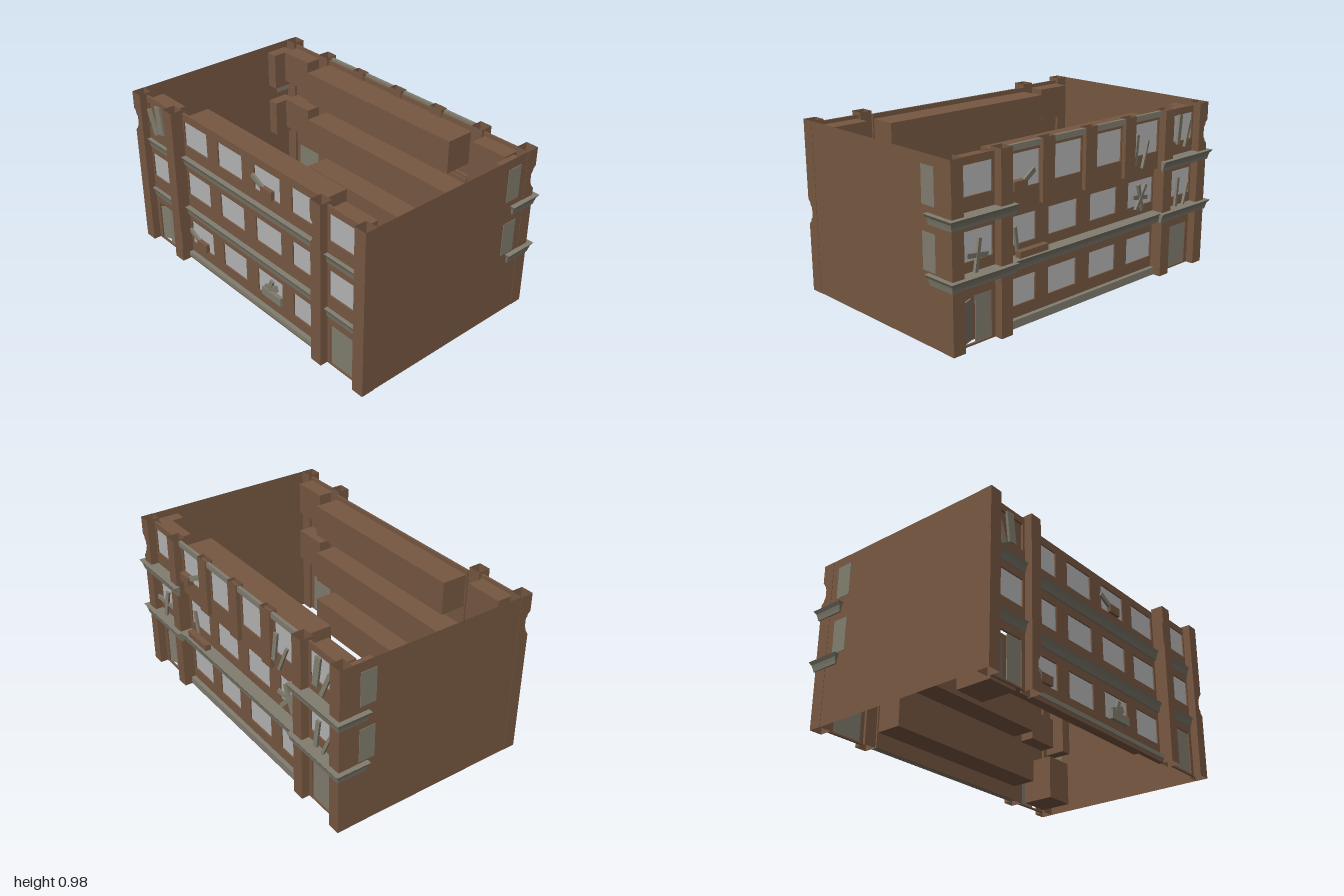
import * as THREE from 'three';

const mat = (name, color) => {
  const m = new THREE.MeshStandardMaterial({ color, side: THREE.DoubleSide });
  m.name = name;
  return m;
};

export function createModel() {
  const brick = mat('brick brown', 0x775842);
  const stone = mat('weathered stone', 0x817d6f);
  const glass = mat('window grey', 0xb5b5b5);
  const root = new THREE.Group();
  const H = 0.975;

  const add = (name, geo, material, parent = root) => {
    const m = new THREE.Mesh(geo, material);
    m.name = name;
    parent.add(m);
    return m;
  };
  // box given by its limits
  const box = (name, x0, x1, y0, y1, z0, z1, material) => {
    const m = add(name, new THREE.BoxGeometry(x1 - x0, y1 - y0, Math.abs(z1 - z0)), material);
    m.position.set((x0 + x1) / 2, (y0 + y1) / 2, (z0 + z1) / 2);
    return m;
  };
  const rect = (S, x0, x1, y0, y1) => {
    const s = new S();
    s.moveTo(x0, y0); s.lineTo(x1, y0); s.lineTo(x1, y1); s.lineTo(x0, y1); s.closePath();
    return s;
  };
  // an x range mirrored to side s
  const span = (s, a, b) => (s > 0 ? [a, b] : [-b, -a]);

  // wall with openings [x0, x1, y0, y1, filling]; dir is the way it faces along z
  const T = 0.012;
  const wall = (name, x0, x1, y0, y1, z, dir, openings) => {
    const s = rect(THREE.Shape, x0, x1, y0, y1);
    openings.forEach(o => s.holes.push(rect(THREE.Path, o[0], o[1], o[2], o[3])));
    const m = add(name, new THREE.ExtrudeGeometry(s, { depth: T, bevelEnabled: false }), brick);
    m.position.z = dir > 0 ? z - T : z;
    openings.forEach(o => {
      if (o[4]) box(o[4] === glass ? 'windowPane' : 'doorPanel', o[0], o[1], o[2], o[3], z - dir * 0.008, z - dir * T, o[4]);
    });
  };

  // moulding that widens towards the top, on the side dir
  const cornice = (x0, x1, y, zIn, zOut, dir) => {
    const g = new THREE.BoxGeometry(x1 - x0, 0.055, Math.abs(zOut - zIn), 1, 3, 1), p = g.attributes.position;
    for (let i = 0; i < p.count; i++) {
      const k = 0.02 * Math.sqrt(Math.max(0, 0.5 - p.getY(i) / 0.055));
      if (p.getZ(i) * dir > 0) p.setZ(i, p.getZ(i) - dir * k);
    }
    g.computeVertexNormals();
    add('cornice', g, stone).position.set((x0 + x1) / 2, y + 0.0275, (zIn + zOut) / 2);
  };

  // flat pier face with an optional broken bite out of its +x edge
  const face = (w, biteY) => {
    const s = new THREE.Shape();
    s.moveTo(-w / 2, 0); s.lineTo(w / 2, 0);
    if (biteY) {
      for (let i = 0; i <= 10; i++) {
        const d = 0.032 * Math.sin(Math.PI * i / 10) + (i % 2 ? 0.006 : 0);
        s.lineTo(w / 2 - d, biteY - 0.07 + i * 0.014);
      }
    }
    s.lineTo(w / 2, H); s.lineTo(-w / 2, H); s.closePath();
    return new THREE.ShapeGeometry(s);
  };
  // hollow pier, open at the top; sx chooses the side with the broken edge
  const pier = (x, z, dir, sx, biteY) => {
    const w = 0.075, g = new THREE.Group();
    g.name = 'pier';
    add('pierFront', face(w, biteY), brick, g);
    add('pierBack', face(w, 0), brick, g).position.z = -w;
    [1, -1].forEach(k => {
      const m = add('pierSide', face(w, k > 0 ? biteY : 0), brick, g);
      m.rotation.y = -Math.PI / 2;
      m.position.set(k * w / 2, 0, -w / 2);
    });
    if (biteY) add('brokenCore', new THREE.BoxGeometry(0.05, 0.15, 0.05), brick, g).position.set(0, biteY, -w / 2);
    g.position.set(x, 0, z);
    g.scale.set(sx, 1, dir);
    root.add(g);
  };
  pier(-0.9345, 0.633, 1, -1, 0.8);
  pier(-0.6225, 0.633, 1, 1, 0.14);
  pier(0.6225, 0.633, 1, -1, 0.8);
  pier(0.9345, 0.633, 1, 1, 0.46);
  [-1, 1].forEach(s => {
    pier(s * 0.9345, -0.577, -1, s, 0.8);
    pier(s * 0.6225, -0.577, -1, s, 0);
  });

  // main walls
  const cols = [-0.47, -0.158, 0.158, 0.463];
  const row = (y0, y1) => cols.map(x => [x - 0.106, x + 0.106, y0, y1, glass]);
  const low = [...row(0.11, 0.26), ...row(0.44, 0.59)];
  wall('frontCentreWall', -0.585, 0.585, 0, 0.957, 0.558, 1, [...low, ...row(0.76, 0.91)]);
  wall('backLowerWall', -0.585, 0.585, 0, 0.64, -0.505, -1, low);
  wall('backUpperWall', -0.585, 0.585, 0.64, 0.957, -0.53, -1, row(0.74, 0.92));
  box('upperOverhang', -0.585, 0.585, 0.64, 0.66, -0.53, -0.5, brick);

  // wing walls with a door and two windows each
  [[1, 0.588], [-1, -0.53]].forEach(([dir, z]) => [-1, 1].forEach(s => {
    const openDoor = s !== dir;
    const noGlass = dir > 0 && s < 0;
    wall('wingWall', ...span(s, 0.66, 0.897), 0, 0.96, z, dir, [
      [...span(s, 0.685, 0.87), 0.01, 0.26, openDoor ? null : stone],
      [...span(s, 0.675, 0.888), 0.44, 0.595, glass],
      [...span(s, 0.675, 0.888), 0.765, 0.92, noGlass ? null : glass],
    ]);
    // rooms behind the wing windows
    const zi = z - dir * T;
    [0.42, 0.745].forEach(y =>
      box('wingRoom', ...span(s, 0.67, 0.89), y, y + 0.195, dir > 0 ? 0.48 : -0.42, zi - dir * 0.001, brick));
    if (openDoor) {
      // lobby, one closed door leaf and one standing ajar
      box('lobby', ...span(s, 0.68, 0.865), 0.005, 0.27, dir > 0 ? 0.34 : -0.29, zi - dir * 0.03, brick);
      box('closedDoorLeaf', ...span(s, 0.685, 0.785), 0.01, 0.26, z - dir * 0.008, zi, stone);
      box('openDoorLeaf', ...span(s, 0.785, 0.868), 0.01, 0.23, z - dir * 0.02, z - dir * 0.028, stone).rotation.y = 0.35;
    }
  }));

  // rooms behind the centre windows
  [0.09, 0.42, 0.735].forEach((y, i) => {
    box('frontRoom', -0.578, 0.578, y, y + 0.195, 0.39, 0.545, brick);
    box('backRoom', -0.578, 0.578, y, y + 0.195, -0.34, i === 2 ? -0.517 : -0.492, brick);
  });

  // plain side walls with boarded windows and small rooms at the back end
  [-1, 1].forEach(s => {
    const m = add('sideWall', new THREE.PlaneGeometry(1.062, H), brick);
    m.rotation.y = s * Math.PI / 2;
    m.position.set(s * 0.97, H / 2, 0.029);
    [0.395, 0.725].forEach(y => {
      box('sideWindow', ...span(s, 0.968, 0.973), y, y + 0.195, -0.455, -0.36, stone);
      box('sideRoom', ...span(s, 0.895, 0.965), y - 0.015, y + 0.21, -0.48, -0.345, brick);
    });
  });

  // straight cornices and plinths
  [0.305, 0.635].forEach(y => {
    cornice(-0.585, 0.585, y, 0.555, 0.59, 1);
    [-1, 1].forEach(s => cornice(...span(s, 0.66, 0.897), y, 0.58, 0.612, 1));
  });
  cornice(-0.585, 0.585, 0.33, -0.5, -0.58, -1);
  box('frontPlinth', -0.585, 0.585, 0, 0.02, 0.55, 0.575, brick);
  box('frontPlinthCap', -0.585, 0.585, 0.02, 0.045, 0.55, 0.585, stone);
  box('backPlinth', -0.585, 0.585, 0, 0.045, -0.53, -0.5, stone);

  // cornices that turn the back corners
  [-1, 1].forEach(s => [0.33, 0.635].forEach(y => {
    const sh = new THREE.Shape([[0.565, 0.57], [0.97, 0.57], [0.97, 0.4], [1, 0.4], [1, 0.605], [0.565, 0.605]]
      .map(([a, b]) => new THREE.Vector2(a, b)));
    const g = new THREE.ExtrudeGeometry(sh, { depth: 0.055, steps: 3, bevelEnabled: false });
    g.rotateX(-Math.PI / 2);
    const p = g.attributes.position;
    for (let i = 0; i < p.count; i++) {
      const k = 0.021 * Math.sqrt(Math.max(0, 1 - p.getY(i) / 0.055));
      if (p.getX(i) > 0.985) p.setX(i, p.getX(i) - k);
      if (p.getZ(i) < -0.59) p.setZ(i, p.getZ(i) + k);
      if (p.getZ(i) > -0.401) p.setZ(i, p.getZ(i) - k * 0.7);
    }
    g.computeVertexNormals();
    const m = add('cornerCornice', g, stone);
    m.scale.x = s;
    m.position.y = y;
    // fill between the wing wall and the moulding
    box('corniceBed', ...span(s, 0.66, 0.897), y, y + 0.055, -0.575, -0.53, stone);
  }));

  // upper back pilasters, open at the top, and the broken caps between them
  [-0.314, 0, 0.314].forEach(x => {
    const g = new THREE.BoxGeometry(0.085, 0.335, 0.045);
    g.setIndex([...g.index.array].filter((v, i) => i < 12 || i >= 18));
    add('backPilaster', g, brick).position.set(x, 0.8075, -0.5325);
  });
  [-1, 1].forEach(s => [[0.045, 0.27], [0.36, 0.575]].forEach(r =>
    box('backParapetCap', ...span(s, ...r), 0.94, 0.972, -0.548, -0.53, stone)));

  // fallen boards and masonry lumps in the broken windows
  const board = (x, y, z, length, width, tilt) => {
    const m = add('fallenBoard', new THREE.BoxGeometry(length, width, 0.014), stone);
    m.position.set(x, y, z);
    m.rotation.set(0, z < 0 ? 0.2 : 0, tilt);
  };
  const lump = (x, y, z, width, material) =>
    add('masonryLump', new THREE.BoxGeometry(width, 0.05, 0.035), material).position.set(x, y, z);
  const boardAndLump = (x, y, z) => {
    board(x, y, z, 0.13, 0.028, -0.45);
    lump(x + 0.065, y - 0.027, z - 0.006, 0.09, brick);
  };
  const leaningPair = (x, y, z, width) => {
    board(x, y, z, 0.17, width, 1.7);
    board(x - 0.075, y - 0.035, z - 0.002, 0.16, width * 0.65, 1.95);
  };
  const fan = (x, y, z, count) => {
    for (let i = 0; i < count; i++) board(x, y, z - i * 0.003, 0.17, 0.024, i * Math.PI / count + 0.2);
  };
  boardAndLump(0.1, 0.815, 0.562);
  boardAndLump(-0.53, 0.165, 0.562);
  boardAndLump(0.45, 0.79, -0.54);
  leaningPair(-0.775, 0.845, 0.592, 0.05);
  leaningPair(-0.75, 0.84, -0.545, 0.035);
  leaningPair(-0.75, 0.47, -0.545, 0.025);
  leaningPair(-0.38, 0.78, -0.54, 0.025);
  fan(-0.46, 0.49, -0.51, 3);
  fan(0.79, 0.47, -0.545, 2);
  // heap in a ground floor window
  lump(0.18, 0.14, 0.555, 0.16, stone);
  board(0.17, 0.185, 0.558, 0.1, 0.035, 0.35);
  board(0.165, 0.2, 0.56, 0.08, 0.025, 1.2);
  // slab and upright board on the back ledge
  lump(0.42, 0.395, -0.545, 0.2, brick);
  board(0.5, 0.47, -0.51, 0.14, 0.02, 1.4);

  return root;
}
